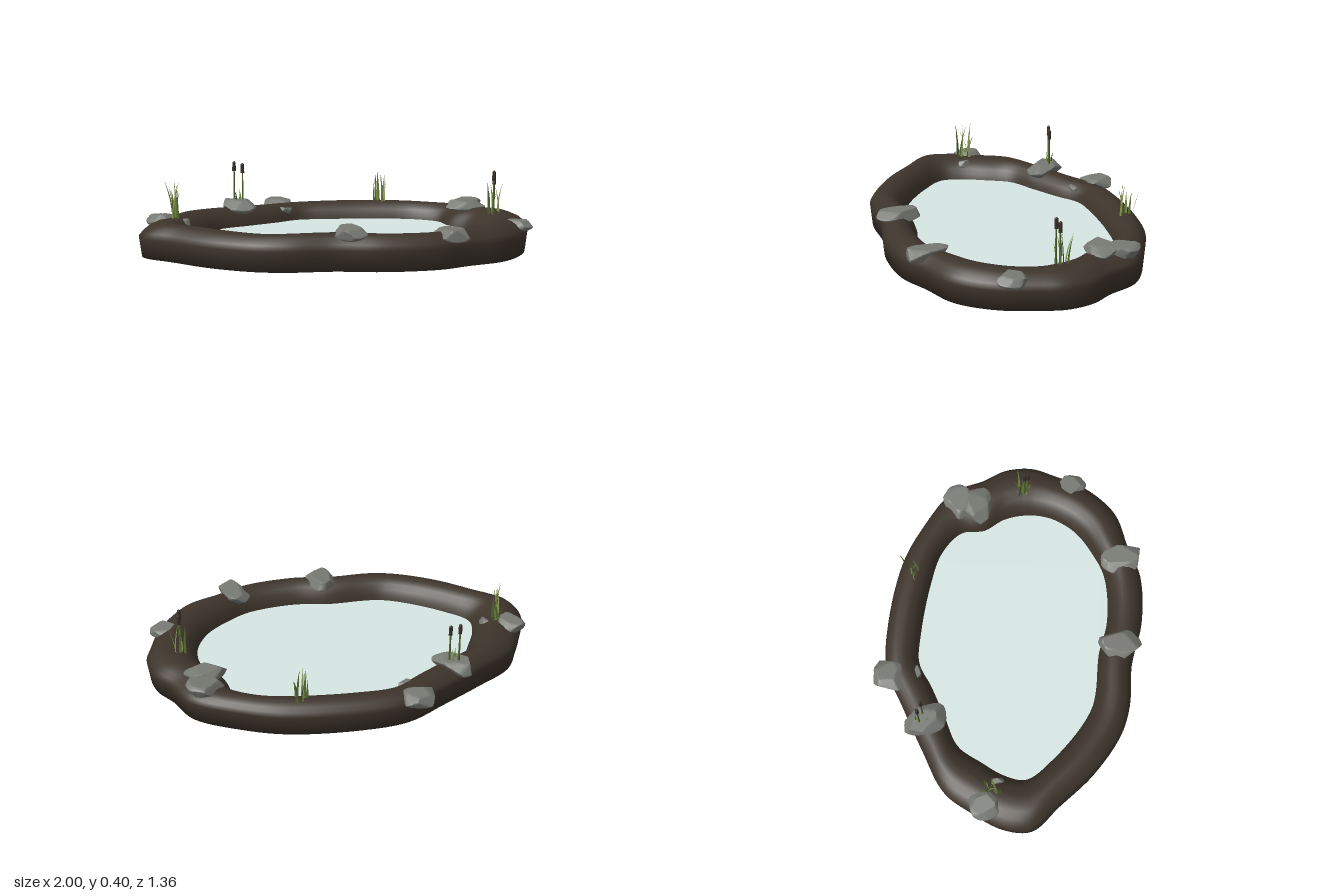
import * as THREE from 'three';
import { toCreasedNormals } from 'three/addons/utils/BufferGeometryUtils.js';

const mat = (name, color, side = THREE.FrontSide) => {
  const m = new THREE.MeshStandardMaterial({ color, side });
  m.name = name;
  return m;
};

// Paired outline points, going round from the left side towards the back
const OUTER = [[0.995, -0.01], [0.965, -0.15], [0.89, -0.26], [0.8, -0.42], [0.57, -0.55], [0.35, -0.625], [0, -0.65],
  [-0.24, -0.62], [-0.45, -0.5], [-0.66, -0.37], [-0.85, -0.24], [-0.93, -0.1], [-1, 0.08], [-0.99, 0.23],
  [-0.85, 0.35], [-0.66, 0.51], [-0.45, 0.62], [-0.29, 0.65], [-0.07, 0.64], [0.17, 0.67], [0.43, 0.64],
  [0.59, 0.56], [0.78, 0.47], [0.91, 0.3], [0.97, 0.11]];
const INNER = [[0.73, 0], [0.69, -0.12], [0.61, -0.22], [0.58, -0.34], [0.45, -0.43], [0.25, -0.465], [-0.02, -0.475],
  [-0.18, -0.46], [-0.3, -0.38], [-0.45, -0.29], [-0.6, -0.2], [-0.67, -0.07], [-0.725, 0.06], [-0.73, 0.17],
  [-0.61, 0.29], [-0.43, 0.41], [-0.31, 0.46], [-0.22, 0.47], [-0.02, 0.465], [0.17, 0.49], [0.42, 0.45],
  [0.55, 0.37], [0.65, 0.28], [0.7, 0.2], [0.73, 0.11]];
const N = 150;
const WATER_Y = 0.065;
const sample = (pts) => {
  const c = new THREE.CatmullRomCurve3(pts.map(([x, z]) => new THREE.Vector3(x, 0, z)), true);
  return Array.from({ length: N }, (_, i) => c.getPoint(i / N));
};

// Bank cross-section: fraction from outer to inner edge, height
const PROFILE = [[0.05, 0], [0, 0.1], [0.08, 0.125], [0.18, 0.147], [0.32, 0.163], [0.47, 0.168],
  [0.62, 0.163], [0.77, 0.146], [0.88, 0.12], [0.95, 0.093], [1, WATER_Y], [1.03, 0.04]];

// Smooth bank with a flat underside fanned to the middle
function bankGeometry(outer, inner) {
  const pos = [], idx = [], M = PROFILE.length, centre = N * M;
  for (let i = 0; i < N; i++) {
    const z = outer[i].z;
    const lift = 1 + (z < 0 ? 0.35 : 0.08) * z + 0.05 * Math.sin(i * 0.25);
    for (const [t, y] of PROFILE) {
      const p = outer[i].clone().lerp(inner[i], t);
      pos.push(p.x, y > 0.1 ? 0.1 + (y - 0.1) * lift : y, p.z);
    }
  }
  pos.push(0, 0, 0);
  for (let i = 0; i < N; i++) {
    const next = ((i + 1) % N) * M;
    for (let j = 0; j < M - 1; j++) {
      const a = i * M + j, b = next + j;
      idx.push(a, b, b + 1, a, b + 1, a + 1);
    }
    idx.push(centre, next, i * M);
  }
  const g = new THREE.BufferGeometry();
  g.setAttribute('position', new THREE.Float32BufferAttribute(pos, 3));
  g.setIndex(idx);
  g.computeVertexNormals();
  return g;
}

function seeded(seed) {
  return () => {
    seed = (seed * 16807) % 2147483647;
    return seed / 2147483647;
  };
}

// Boulder: a ball cut by tilted planes, brought to unit half size
function rockGeometry(seed) {
  const rnd = seeded(seed * 7919 + 13);
  const planes = [];
  for (let k = 0; k < 8; k++) {
    const a = (k / 8) * Math.PI * 2 + rnd() * 0.6;
    planes.push([new THREE.Vector3(Math.cos(a), rnd() * 1.2 - 0.4, Math.sin(a)).normalize(), 0.7 + rnd() * 0.25]);
  }
  planes.push([new THREE.Vector3(rnd() * 0.4 - 0.2, 1, rnd() * 0.4 - 0.2).normalize(), 0.68]);
  const g = new THREE.IcosahedronGeometry(1.15, 5);
  const p = g.attributes.position, v = new THREE.Vector3();
  for (let i = 0; i < p.count; i++) {
    v.fromBufferAttribute(p, i);
    for (const [n, d] of planes) {
      const over = v.dot(n) - d;
      if (over > 0) v.addScaledVector(n, -over);
    }
    p.setXYZ(i, v.x, v.y, v.z);
  }
  g.center();
  const m = g.boundingBox.getSize(v);
  g.scale(2 / m.x, 2 / m.y, 2 / m.z);
  return toCreasedNormals(g, 0.6);
}

// Tapered grass blade that leans over towards its tip
function bladeGeometry(w, h, lean) {
  const g = new THREE.PlaneGeometry(w, h, 1, 6).translate(0, h / 2, 0);
  const p = g.attributes.position;
  for (let i = 0; i < p.count; i++) {
    const t = p.getY(i) / h;
    p.setX(i, p.getX(i) * (1 - 0.95 * t * t));
    p.setZ(i, lean * t * t);
  }
  g.computeVertexNormals();
  return g;
}

export function createModel() {
  const model = new THREE.Group();
  model.name = 'pond';
  const soil = mat('dark soil', 0x3d342b);
  const water = mat('pale water', 0xd6e6e3);
  const stone = mat('grey stone', 0x777973);
  const leaf = mat('leaf green', 0x7b9146, THREE.DoubleSide);
  const darkLeaf = mat('dark leaf green', 0x536630, THREE.DoubleSide);
  const seedBrown = mat('seed head brown', 0x3a302a);
  const add = (parent, name, geo, material, x = 0, y = 0, z = 0) => {
    const m = new THREE.Mesh(geo, material);
    m.name = name;
    m.position.set(x, y, z);
    parent.add(m);
    return m;
  };

  // Earth bank and water
  const outer = sample(OUTER), inner = sample(INNER);
  add(model, 'bank', bankGeometry(outer, inner), soil);
  const waterShape = new THREE.Shape(inner.map((p) => new THREE.Vector2(p.x, -p.z)));
  add(model, 'waterSurface', new THREE.ShapeGeometry(waterShape).rotateX(-Math.PI / 2), water, 0, WATER_Y, 0);

  // Boulders: x, y, z, half width, half height, half depth, turn
  [[-0.29, 0.135, -0.595, 0.078, 0.034, 0.083, 0], [-0.515, 0.155, -0.37, 0.078, 0.042, 0.118, 0.7],
    [-0.9, 0.145, -0.02, 0.08, 0.037, 0.08, 0.2], [0.72, 0.15, -0.36, 0.085, 0.04, 0.095, -0.4],
    [0.71, 0.165, -0.265, 0.108, 0.032, 0.072, 0.1], [0.895, 0.136, 0.22, 0.075, 0.031, 0.08, 0.2],
    [0.495, 0.15, 0.53, 0.075, 0.034, 0.112, 0.35], [0.015, 0.168, 0.565, 0.08, 0.034, 0.113, 0],
    [-0.775, 0.135, 0.02, 0.02, 0.024, 0.04, 0.2], [-0.25, 0.118, -0.455, 0.038, 0.02, 0.018, 0.3],
  ].forEach(([x, y, z, a, b, c, turn], i) => {
    const rock = add(model, 'rock', rockGeometry(i + 1), stone, x, y, z);
    rock.scale.set(a, b, c);
    rock.rotation.y = turn;
  });

  // Grass clumps: x, z, base height, spread in x and z, blade height, count, seed
  [[-0.835, 0.015, 0.15, 0.025, 0.035, 0.2, 9, 3], [-0.51, -0.4, 0.16, 0.025, 0.025, 0.1, 6, 5],
    [0.275, -0.555, 0.14, 0.03, 0.04, 0.185, 9, 8], [0.825, -0.035, 0.15, 0.03, 0.025, 0.17, 7, 11],
    [0.51, -0.52, 0.13, 0.01, 0.01, 0.035, 3, 14], [-0.33, 0.545, 0.155, 0.012, 0.012, 0.025, 3, 17],
  ].forEach(([x, z, y, sx, sz, h, count, seed]) => {
    const rnd = seeded(seed * 104729);
    for (let k = 0; k < 5; k++) rnd();
    const clump = new THREE.Group();
    clump.name = 'grassClump';
    clump.position.set(x, y, z);
    for (let k = 0; k < count; k++) {
      const height = h * (0.7 + 0.35 * rnd());
      const width = Math.min(0.015, 0.005 + h * 0.05);
      const blade = add(clump, 'grassBlade', bladeGeometry(width, height, height * 0.3 * rnd()),
        k % 4 ? leaf : darkLeaf, (rnd() * 2 - 1) * sx, -0.01, (rnd() * 2 - 1) * sz);
      blade.rotation.y = rnd() * Math.PI * 2;
    }
    model.add(clump);
  });

  // Bulrushes: x, z, height of the tip
  [[-0.53, -0.4, 0.4], [-0.485, -0.39, 0.39], [0.815, -0.01, 0.385], [0.82, -0.028, 0.365]].forEach(([x, z, top]) => {
    const rush = new THREE.Group();
    rush.name = 'bulrush';
    rush.position.set(x, 0, z);
    const base = 0.14, neck = top - 0.045;
    add(rush, 'stem', new THREE.CylinderGeometry(0.004, 0.006, neck - base, 6), darkLeaf, 0, (neck + base) / 2, 0);
    add(rush, 'seedHead', new THREE.CylinderGeometry(0.009, 0.01, 0.048, 8), seedBrown, 0, top - 0.029, 0);
    add(rush, 'tip', new THREE.CylinderGeometry(0.003, 0.007, 0.006, 8), seedBrown, 0, top - 0.002, 0);
    model.add(rush);
  });
  return model;
}
